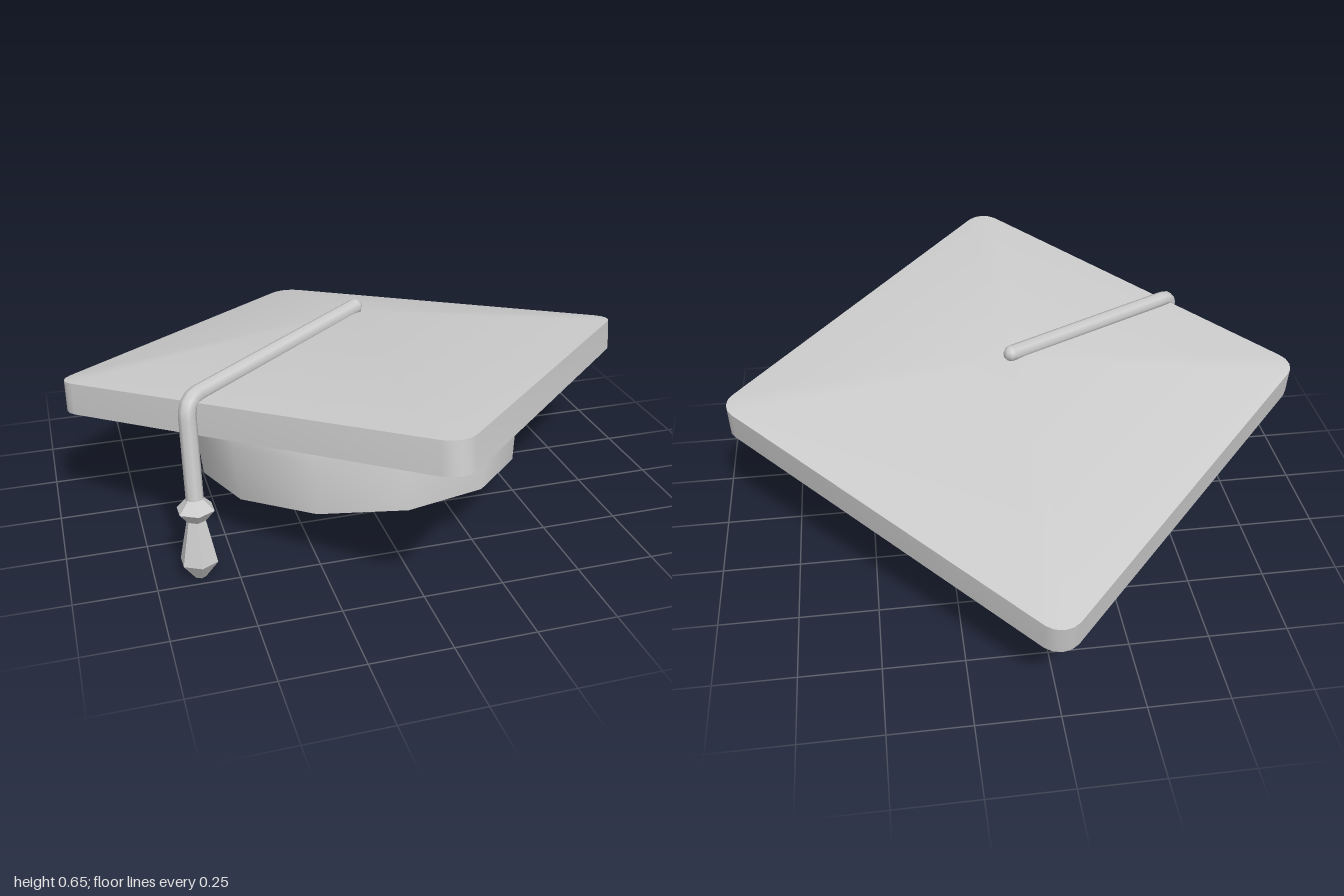
import * as THREE from 'three';
import { toCreasedNormals } from 'three/addons/utils/BufferGeometryUtils.js';

const material = new THREE.MeshStandardMaterial({ color: 0xcccccc });

function addMesh(parent, name, geometry) {
  const mesh = new THREE.Mesh(geometry, material);
  mesh.name = name;
  parent.add(mesh);
  return mesh;
}

// Diamond outline with rounded corners, as [x, z] pairs
function diamondOutline(halfX, halfZ, radius, steps) {
  const points = [];
  for (let corner = 0; corner < 4; corner++) {
    const mid = corner * Math.PI / 2;
    const cx = Math.cos(mid) * (halfX - radius);
    const cz = Math.sin(mid) * (halfZ - radius);
    for (let i = 0; i <= steps; i++) {
      const a = mid + (i / steps - 0.5) * Math.PI / 2;
      points.push([cx + radius * Math.cos(a), cz + radius * Math.sin(a)]);
    }
  }
  return points;
}

// Tented slab: a low pyramid above and the same hollow below
function boardGeometry(halfThickness, rise) {
  const outline = diamondOutline(0.94, 1.0, 0.07, 4);
  const positions = [];
  const triangle = (...corners) => corners.forEach(c => positions.push(...c));
  const apex = [0, halfThickness + rise, 0];
  const hollow = [0, -halfThickness + rise, 0];
  outline.forEach(([x, z], i) => {
    const [nx, nz] = outline[(i + 1) % outline.length];
    const top = [x, halfThickness, z], nextTop = [nx, halfThickness, nz];
    const low = [x, -halfThickness, z], nextLow = [nx, -halfThickness, nz];
    triangle(apex, nextTop, top);
    triangle(top, nextTop, low);
    triangle(nextTop, nextLow, low);
    triangle(hollow, low, nextLow);
  });
  const geometry = new THREE.BufferGeometry();
  geometry.setAttribute('position', new THREE.Float32BufferAttribute(positions, 3));
  return toCreasedNormals(geometry, 0.6);
}

function lathe(profile, sides, crease) {
  const points = profile.map(([r, y]) => new THREE.Vector2(r, y));
  return toCreasedNormals(new THREE.LatheGeometry(points, sides), crease);
}

export function createModel() {
  const model = new THREE.Group();
  model.name = 'graduationCap';

  // Cap body, tipped up at the front
  const cap = new THREE.Group();
  cap.name = 'cap';
  cap.position.y = 0.44;
  cap.rotation.x = -0.15;
  model.add(cap);

  addMesh(cap, 'board', boardGeometry(0.05, 0.125));

  // Headband: inner wall, flat rim, bulging outer wall, sloped shoulder
  const band = addMesh(cap, 'headband', lathe([
    [0.37, 0.06], [0.37, -0.32], [0.528, -0.32],
    [0.545, -0.15], [0.535, -0.06], [0.45, 0.04],
  ], 12, 0.6));
  band.scale.z = 1.05;

  // Cord: from the apex over the edge and down
  const path = new THREE.CurvePath();
  const v = (x, y, z) => new THREE.Vector3(x, y, z);
  const start = v(0.015, 0.623, -0.03);
  const bendIn = v(-0.575, 0.563, 0.36), bendOut = v(-0.615, 0.52, 0.4);
  path.add(new THREE.LineCurve3(start, bendIn));
  path.add(new THREE.QuadraticBezierCurve3(bendIn, v(-0.612, 0.56, 0.39), bendOut));
  path.add(new THREE.LineCurve3(bendOut, v(-0.615, 0.24, 0.445)));
  addMesh(model, 'cord', new THREE.TubeGeometry(path, 48, 0.027, 8));
  addMesh(model, 'cordEnd', new THREE.SphereGeometry(0.027, 8, 6)).position.copy(start);

  // Tassel: knot and flared tuft
  const tassel = addMesh(model, 'tassel', lathe([
    [0, 0], [0.018, 0.003], [0.06, 0.058], [0.03, 0.195],
    [0.06, 0.23], [0.026, 0.265], [0, 0.265],
  ], 6, 0.4));
  tassel.position.set(-0.615, 0, 0.46);
  tassel.rotation.x = -0.06;

  return model;
}
